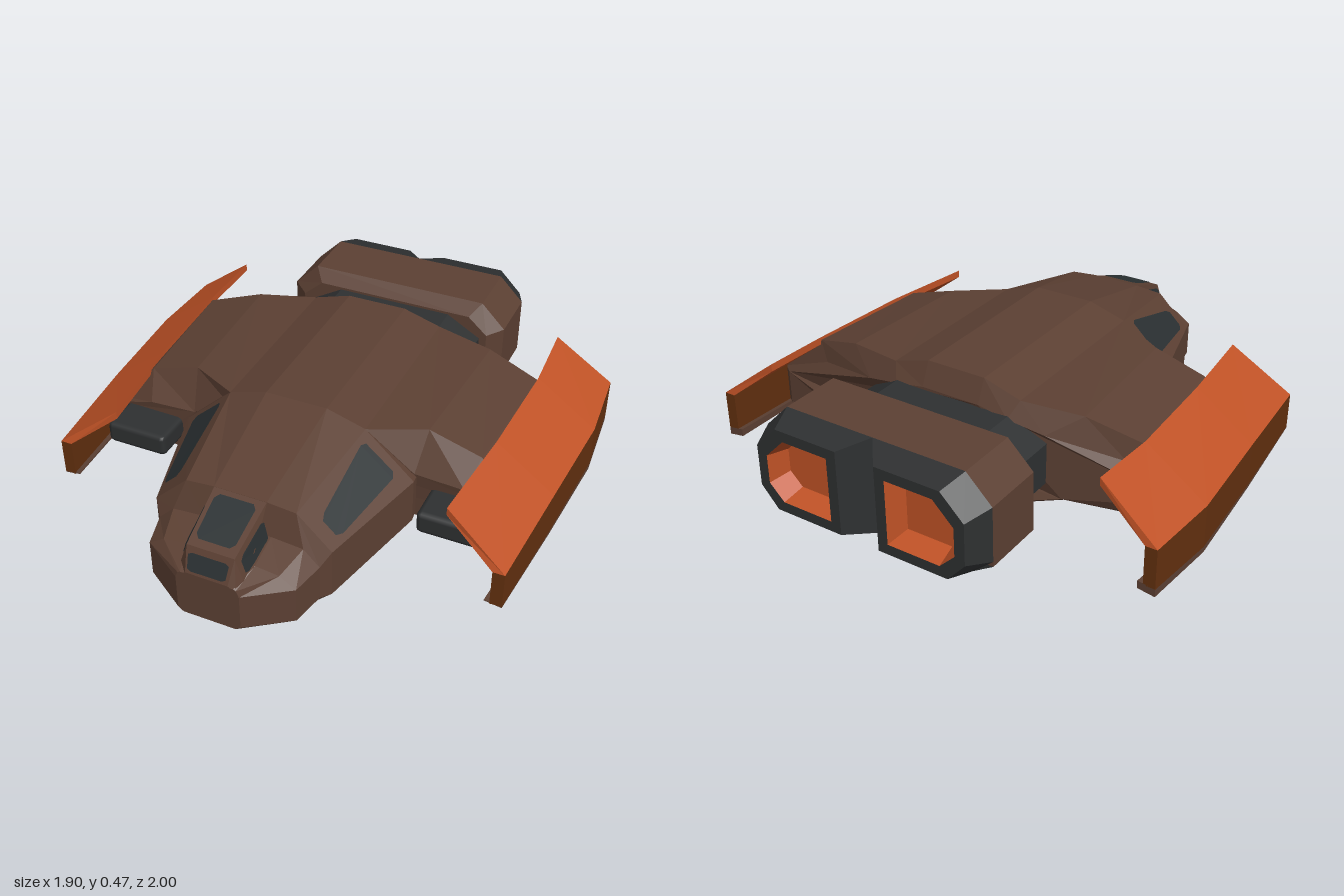
import * as THREE from 'three';
import { RoundedBoxGeometry } from 'three/addons/geometries/RoundedBoxGeometry.js';

const paint = (name, color, side = THREE.FrontSide) => {
  const m = new THREE.MeshStandardMaterial({ color, side });
  m.name = name;
  return m;
};

// Flat-faced geometry from a list of triangle corner points
function facets(points) {
  const g = new THREE.BufferGeometry();
  g.setAttribute('position', new THREE.Float32BufferAttribute(points.flat(), 3));
  g.computeVertexNormals();
  return g;
}

// Skin over closed rings that run from front (+z) to back (-z)
function loft(rings, { front = true, back = true, inside = false } = {}) {
  const flat = r => r.map(p => new THREE.Vector2(p[0], p[1]));
  if (THREE.ShapeUtils.area(flat(rings[0])) < 0) rings = rings.map(r => [...r].reverse());
  const out = [];
  const tri = (a, b, c) => (inside ? out.push(a, c, b) : out.push(a, b, c));
  for (let k = 0; k + 1 < rings.length; k++) {
    const A = rings[k], B = rings[k + 1];
    A.forEach((a, i) => {
      const j = (i + 1) % A.length;
      tri(a, B[i], B[j]);
      tri(a, B[j], A[j]);
    });
  }
  const cap = (r, flip) => THREE.ShapeUtils.triangulateShape(flat(r), []).forEach(([a, b, c]) =>
    flip ? tri(r[a], r[c], r[b]) : tri(r[a], r[b], r[c]));
  if (front) cap(rings[0], false);
  if (back) cap(rings[rings.length - 1], true);
  return facets(out);
}

// Half profile (top to bottom) to a full symmetric ring
const sym = half => [...half, ...half.map(([x, y, z]) => [-x, y, z]).reverse()];
const atZ = (z, pts) => pts.map(([x, y]) => [x, y, z]);
const mirrorX = (s, ring) => ring.map(([x, y, z]) => [s * x, y, z]);

// Thin pane on the four-cornered face a-b-c-d, outlined in that face's own (u, v)
function pane([a, b, c, d], outline, away) {
  const V = p => new THREE.Vector3(...p);
  const pts = outline.map(([u, v]) => V(a).lerp(V(b), u).lerp(V(d).lerp(V(c), u), v));
  const n = pts[1].clone().sub(pts[0]).cross(pts[2].clone().sub(pts[0])).normalize();
  if (n.dot(V(away)) < 0) { n.negate(); pts.reverse(); }
  const q = pts.map(p => p.addScaledVector(n, 0.006).toArray());
  const out = [];
  for (let i = 1; i + 1 < q.length; i++) out.push(q[0], q[i], q[i + 1]);
  return facets(out);
}
// Rectangle with clipped corners
const clipped = (u0, u1, v0, v1, c = 0.08) => [
  [u0 + c, v0], [u1 - c, v0], [u1, v0 + c], [u1, v1 - c],
  [u1 - c, v1], [u0 + c, v1], [u0, v1 - c], [u0, v0 + c]];

export function createModel() {
  const root = new THREE.Group();
  root.name = 'spacecraft';
  const hull = paint('hull brown', 0x5c4033);
  const orange = paint('panel orange', 0xc05226);
  const rust = paint('fin side rust', 0x63300f);
  const trim = paint('dark trim', 0x2e3031);
  const glass = paint('dark glass', 0x2a3032, THREE.DoubleSide);
  const add = (name, geometry, material) => {
    const m = new THREE.Mesh(geometry, material);
    m.name = name;
    root.add(m);
    return m;
  };

  // Wide body with stub wings: sloped leading edge, flat roof, sloped rear
  add('body', loft([
    [[.12, .40, .31], [.27, .36, .31], [.45, .26, .28], [.64, .25, .28], [.86, .18, .27],
      [.86, .03, .27], [.65, .065, .27], [.45, .065, .27], [.28, .005, .30]],
    [[.12, .47, .31], [.27, .425, .31], [.47, .41, .20], [.67, .35, .20], [.87, .18, .22],
      [.87, .02, .24], [.65, .065, .25], [.45, .065, .25], [.28, .003, .29]],
    [[.12, .47, -.43], [.27, .425, -.43], [.50, .41, -.38], [.71, .35, -.34], [.91, .18, -.34],
      [.91, .02, -.34], [.66, .065, -.36], [.45, .065, -.40], [.28, .003, -.42]],
    [[.12, .38, -.47], [.24, .36, -.47], [.38, .33, -.45], [.66, .28, -.37], [.88, .17, -.36],
      [.88, .03, -.36], [.64, .08, -.38], [.44, .08, -.43], [.28, .03, -.46]],
  ].map(sym)), hull);

  // Cockpit tapering forward, stepping down to the blunt nose
  const c0 = atZ(.31, [[.12, .47], [.27, .425], [.46, .25], [.46, .07], [.28, .003]]);
  const c1 = atZ(.745, [[.10, .365], [.21, .355], [.34, .23], [.34, .04], [.28, .005]]);
  add('cockpit', loft([
    atZ(1, [[.10, .19], [.11, .185], [.12, .16], [.12, .02], [.10, .005]]),
    atZ(.9, [[.13, .22], [.22, .21], [.28, .17], [.28, .03], [.24, .005]]),
    atZ(.78, [[.13, .25], [.25, .24], [.31, .18], [.31, .04], [.28, .005]]),
    c1, c0,
    atZ(.2, [[.12, .46], [.27, .41], [.45, .24], [.45, .08], [.28, .01]]),
  ].map(sym)), hull);

  // Raised canopy on the nose
  const k0 = atZ(1, [[.08, .195], [.11, .17]]);
  const k1 = atZ(.96, [[.09, .285], [.125, .18]]);
  const k2 = atZ(.74, [[.10, .366], [.13, .20]]);
  add('canopy', loft([k0, k1, k2].map(sym)), hull);
  const flip = p => [-p[0], p[1], p[2]];
  add('canopyTopWindow', pane([flip(k1[0]), k1[0], k2[0], flip(k2[0])],
    clipped(.1, .9, .12, .88), [0, 1, 0]), glass);
  add('canopyFrontWindow', pane([flip(k0[0]), k0[0], k1[0], flip(k1[0])],
    clipped(.06, .94, .12, .78), [0, 0, 1]), glass);

  // Neck and engine block
  const neck = [[.24, .37], [.38, .29], [.38, .13], [.30, .07]];
  add('neck', loft([sym(atZ(-.42, neck)), sym(atZ(-.66, neck))]), trim);
  const block = [[.37, .43], [.47, .33], [.47, .10]];
  add('engineBlock', loft([
    atZ(-.615, [[.33, .38], [.41, .31], [.41, .10]]), atZ(-.66, block), atZ(-.9, block),
  ].map(sym)), hull);
  const tray = [[.47, .10], [.39, .05]];
  add('engineTray', loft([
    atZ(-.615, [[.41, .10], [.35, .07]]), atZ(-.66, tray), atZ(-.9, tray),
  ].map(sym)), trim);

  // Fin stations: inner z, outer z, inner x, outer x, top y, fold y, bottom y, sill height
  const stations = [
    [.50, .55, .65, .885, .345, .17, .02, .004],
    [.10, .10, .69, .92, .357, .187, .005, .012],
    [-.34, -.34, .71, .95, .362, .19, 0, .022],
    [-.63, -.66, .70, .93, .375, .20, .015, .03],
  ];
  const T = .045;

  for (const [s, side] of [[1, 'left'], [-1, 'right']]) {
    const skin = (rings, options) => loft(rings.map(r => mirrorX(s, r)), options);

    // Folded side fin: sloped panel, upright plate and bottom sill
    add(side + 'FinSlope', skin(stations.map(([zi, zo, xi, xo, yt, ym]) =>
      [[xi, yt, zi], [xo, ym, zo], [xo - T, ym, zo], [xi, yt - .03, zi]])), orange);
    add(side + 'FinPlate', skin(stations.map(([, z, , x, , ym, yb, h]) =>
      atZ(z, [[x, ym], [x, yb + h], [x - T, yb + h], [x - T, ym]]))), rust);
    add(side + 'FinSill', skin(stations.map(([, z, , x, , , yb, h]) =>
      atZ(z, [[x, yb + h], [x, yb], [x - T - .02, yb + .01], [x - T - .02, yb + h + .01]]))), hull);

    // Pod under the wing's leading edge
    add(side + 'Pod', new RoundedBoxGeometry(.25, .09, .3, 1, .02), trim)
      .position.set(s * .635, .165, .27);

    // Cockpit and canopy side windows
    add(side + 'CockpitWindow', pane([c0[1], c0[2], c1[2], c1[1]].map(p => mirrorX(s, [p])[0]),
      [[.13, .1], [.68, .09], [.76, .14], [.86, .82], [.80, .88], [.45, .88], [.36, .82], [.09, .15]],
      [s, 1, 0]), glass);
    add(side + 'CanopyWindow', pane([k1[0], k1[1], k2[1], k2[0]].map(p => mirrorX(s, [p])[0]),
      clipped(.15, .72, .08, .78), [s, 0, 0]), glass);

    // Engine nozzle: dark tapered rim around a recessed orange chamber
    const rim = [[.12, .36], [.31, .36], [.39, .28], [.39, .17], [.33, .11], [.12, .11]];
    const well = [[.14, .34], [.30, .34], [.37, .27], [.37, .18], [.32, .13], [.14, .13]];
    add(side + 'NozzleRim', skin([
      atZ(-.9, [[0, .43], [.37, .43], [.47, .33], [.47, .12], [.39, .05], [0, .05]]),
      atZ(-1, [[.08, .40], [.34, .40], [.43, .31], [.43, .15], [.36, .07], [.08, .07]]),
      atZ(-1, rim),
    ], { front: false, back: false }), trim);
    // The chamber is seen from within, its closed end towards the block
    add(side + 'NozzleChamber', skin([atZ(-.915, well), atZ(-1, rim)],
      { back: false, inside: true }), orange);
  }
  return root;
}
